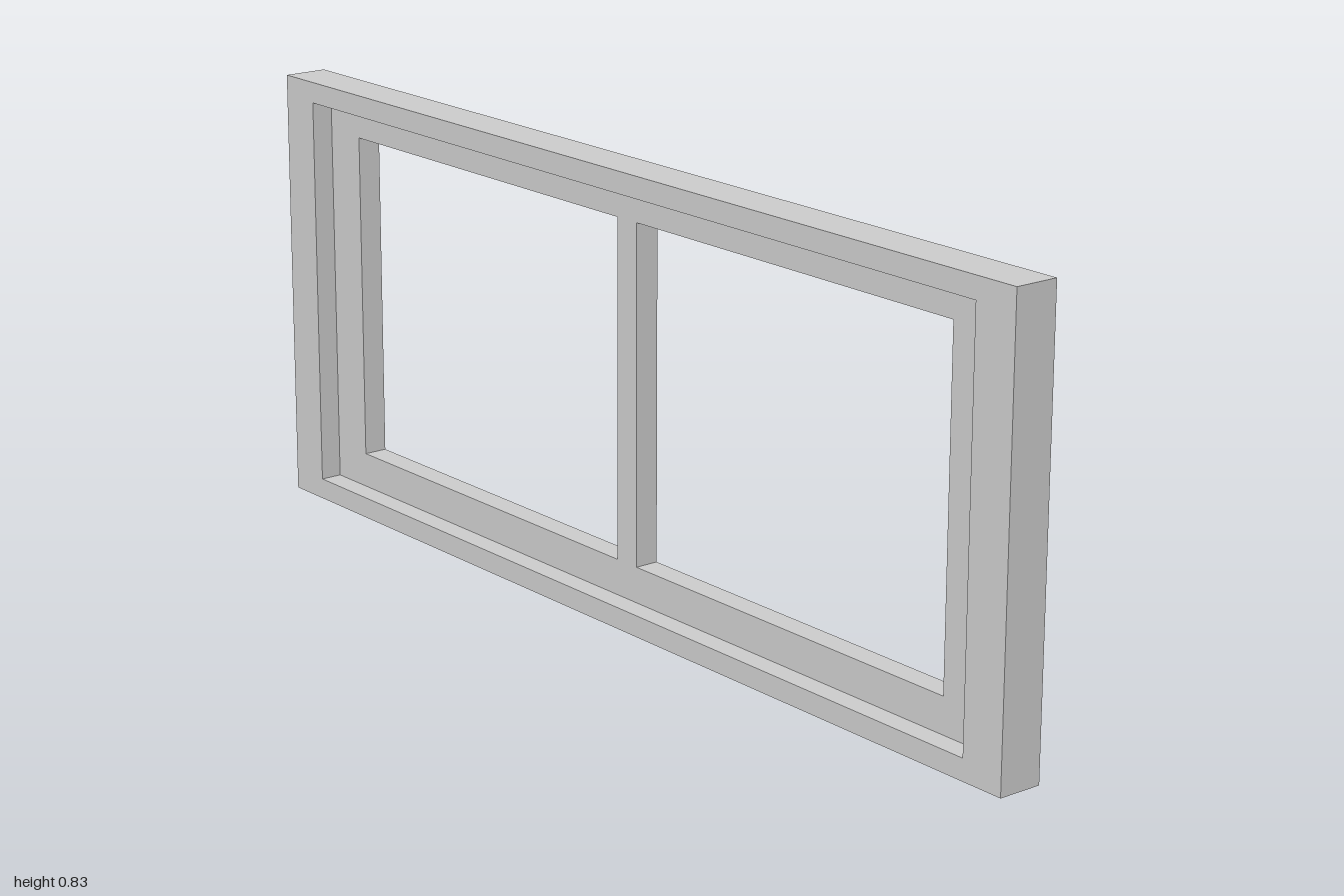
import * as THREE from 'three';

const LENGTH = 2, HEIGHT = 0.835;
const BACK = -0.044, FLOOR = -0.002, EDGE = 0.041, CROWN = 0.044;

// Counter-clockwise rectangle, u along the frame and v up
function rect(PathType, u0, v0, u1, v1) {
  const path = new PathType();
  path.moveTo(u0, v0).lineTo(u1, v0).lineTo(u1, v1).lineTo(u0, v1).closePath();
  return path;
}

// Rectangular slab with holes, its thickness running along x from x0 to x1
function slab(holes, x0, x1) {
  const shape = rect(THREE.Shape, -LENGTH / 2, 0, LENGTH / 2, HEIGHT);
  shape.holes = holes.map((h) => rect(THREE.Path, ...h));
  const geometry = new THREE.ExtrudeGeometry(shape, { depth: x1 - x0, bevelEnabled: false });
  return geometry.translate(0, 0, x0).rotateY(Math.PI / 2);
}

export function createModel() {
  const group = new THREE.Group();
  group.name = 'windowFrame';
  const material = new THREE.MeshStandardMaterial({ color: 0xcccccc, flatShading: true });
  const add = (name, geometry) => {
    const mesh = new THREE.Mesh(geometry, material);
    mesh.name = name;
    group.add(mesh);
  };

  // Face plate with two openings and the narrow mullion between them
  const plate = slab([[-0.82, 0.107, -0.027, 0.737], [0.027, 0.107, 0.82, 0.737]], FLOOR, CROWN);
  // Its outer border falls back slightly, so the face swells toward the openings
  const p = plate.attributes.position;
  for (let i = 0; i < p.count; i++) {
    const onBorder = Math.abs(p.getZ(i)) > LENGTH / 2 - 0.001;
    if (onBorder && p.getX(i) > EDGE) p.setX(i, EDGE);
  }
  plate.computeVertexNormals();
  add('facePlate', plate);

  // Raised rim around the recess on the other side
  add('recessRim', slab([[-0.912, 0.04, 0.912, 0.795]], BACK, FLOOR));
  return group;
}
